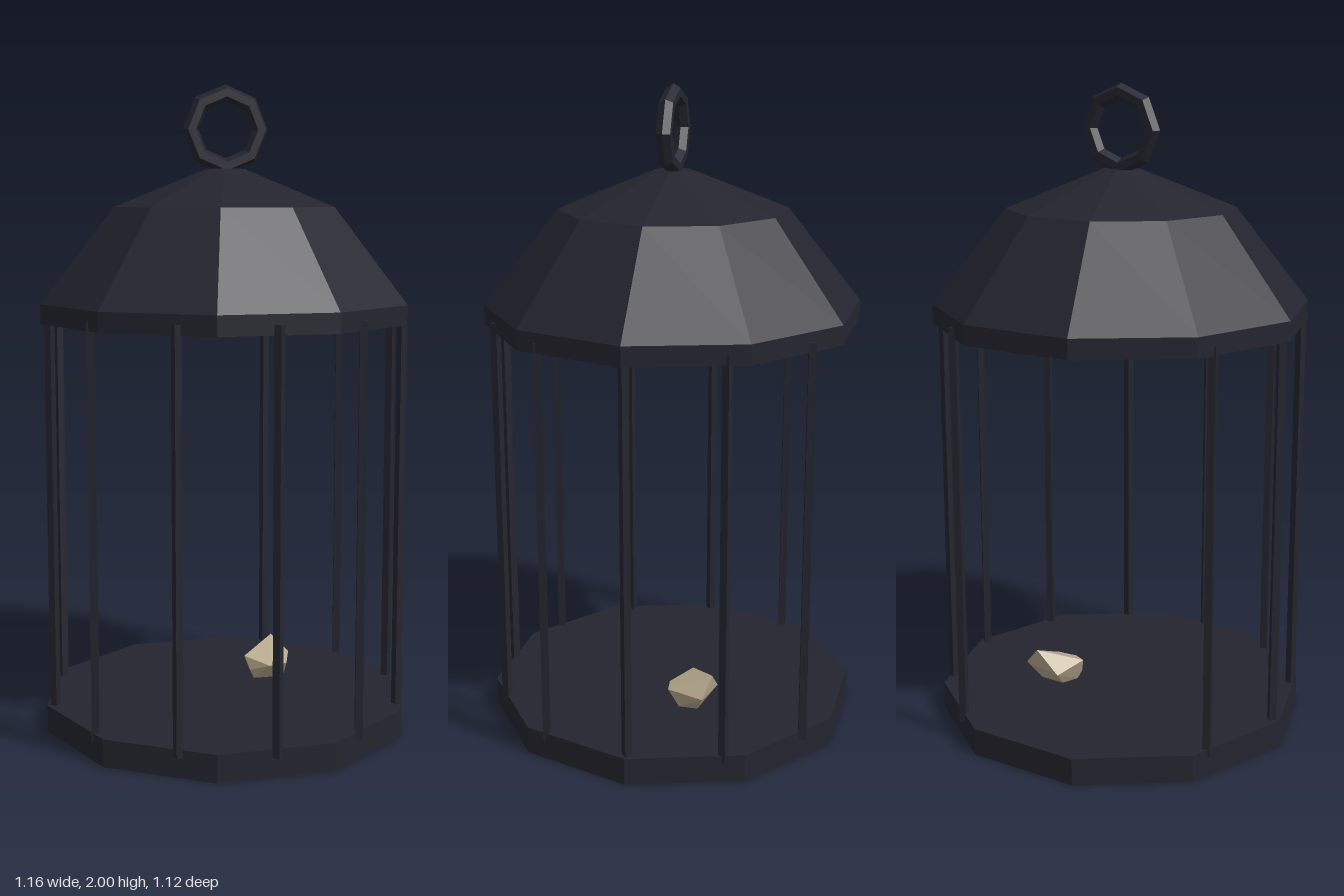
import * as THREE from 'three';
import { ConvexGeometry } from 'three/addons/geometries/ConvexGeometry.js';

const SIDES = 10;
const iron = new THREE.MeshStandardMaterial({ color: 0x24242f, flatShading: true });
iron.name = 'dark iron';
const stone = new THREE.MeshStandardMaterial({ color: 0xb8aa8e, flatShading: true });
stone.name = 'pale stone';

function addMesh(parent, name, geometry, material) {
  const mesh = new THREE.Mesh(geometry, material);
  mesh.name = name;
  parent.add(mesh);
  return mesh;
}

// Closed ten-sided solid from a radius/height profile, with corners on the x axis
function turned(profile) {
  const points = profile.map(([r, y]) => new THREE.Vector2(r, y));
  return new THREE.LatheGeometry(points, SIDES).rotateY(Math.PI / SIDES);
}

export function createModel() {
  const model = new THREE.Group();
  model.name = 'birdcage';

  const cage = new THREE.Group();
  cage.name = 'cage';
  cage.position.z = -0.01;
  model.add(cage);

  // Floor slab and domed roof
  addMesh(cage, 'base', turned([[0, 0], [0.58, 0], [0.58, 0.085], [0, 0.085]]), iron);
  addMesh(cage, 'roof', turned([
    [0, 1.28], [0.58, 1.28], [0.58, 1.34], [0.35, 1.63], [0.06, 1.745], [0, 1.745],
  ]), iron);

  // Twelve bar positions, with two left out as the opening at the back
  const bars = new THREE.Group();
  bars.name = 'bars';
  cage.add(bars);
  const barShape = new THREE.CylinderGeometry(0.016, 0.016, 1.25, 4);
  for (let i = 0; i < 12; i++) {
    if (i === 6 || i === 7) continue;
    const angle = (i * Math.PI) / 6;
    const bar = addMesh(bars, 'bar', barShape, iron);
    bar.position.set(0.553 * Math.sin(angle), 0.685, 0.553 * Math.cos(angle));
    bar.rotation.y = angle;
  }

  // Hanging ring
  const ring = addMesh(cage, 'hangingRing', new THREE.TorusGeometry(0.111, 0.025, 6, 8), iron);
  ring.position.y = 1.864;

  // Chipped stone lying on the floor
  const corners = [
    [0.21, 0.2, -0.19], [0.09, 0.16, -0.1], [0.265, 0.14, -0.17], [0.22, 0.14, -0.05],
    [0.16, 0.138, -0.04], [0.105, 0.115, -0.085], [0.13, 0.13, -0.19],
    [0.12, 0.085, -0.09], [0.22, 0.085, -0.085], [0.22, 0.085, -0.145], [0.14, 0.085, -0.145],
  ].map((p) => new THREE.Vector3(...p));
  addMesh(model, 'stone', new ConvexGeometry(corners), stone);

  return model;
}
